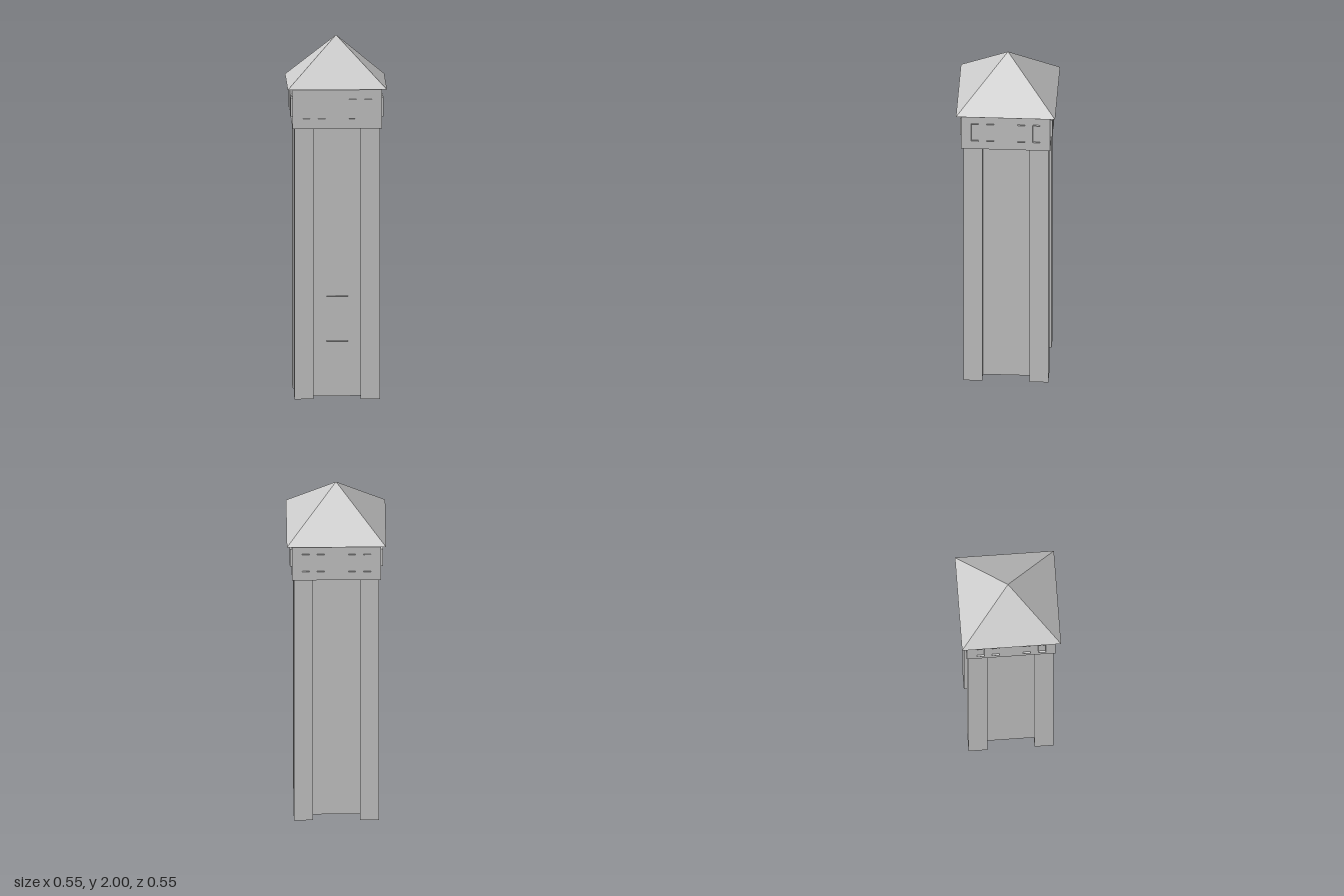
import * as THREE from 'three';

const material = new THREE.MeshStandardMaterial({
  color: 0xcccccc, flatShading: true, side: THREE.DoubleSide,
});

// Thin four-sided tube, open at both ends, running along y from y = 0
function openTube(w, h, d) {
  return new THREE.CylinderGeometry(Math.SQRT1_2, Math.SQRT1_2, 1, 4, 1, true)
    .rotateY(Math.PI / 4)
    .scale(w, h, d)
    .translate(0, h / 2, 0);
}

function add(parent, name, geometry, x = 0, y = 0, z = 0) {
  const mesh = new THREE.Mesh(geometry, material);
  mesh.name = name;
  mesh.position.set(x, y, z);
  parent.add(mesh);
  return mesh;
}

export function createModel() {
  const tower = new THREE.Group();
  tower.name = 'tower';

  const headBottom = 1.515, headTop = 1.737;
  const wall = 0.185, head = 0.246;

  // Hollow shaft between the corner pillars, with its storey floors
  add(tower, 'shaftWalls', openTube(wall * 2, headBottom - 0.01, wall * 2), 0, 0.01, 0);
  for (const y of [0.32, 1.25]) {
    const floor = new THREE.PlaneGeometry(wall * 2, wall * 2).rotateX(-Math.PI / 2);
    add(tower, 'storeyFloor', floor, 0, y, 0);
  }

  // Hollow corner pillars
  for (const sx of [-1, 1]) {
    for (const sz of [-1, 1]) {
      add(tower, 'cornerPillar', openTube(0.105, headBottom, 0.105), sx * 0.1825, 0, sz * 0.1825);
    }
  }

  // Door surround, an open frame standing out from the front wall
  const door = openTube(0.118, 0.03, 0.25).rotateX(Math.PI / 2);
  add(tower, 'doorFrame', door, 0.001, 0.445, wall);

  // Overhanging top room
  const room = new THREE.BoxGeometry(head * 2, headTop - headBottom, head * 2);
  add(tower, 'topRoom', room, 0, (headTop + headBottom) / 2, 0);

  // Two pairs of window frames on each side of the top room
  const frame = openTube(0.041, 0.011, 0.108).rotateX(Math.PI / 2);
  for (let i = 0; i < 4; i++) {
    const side = new THREE.Group();
    side.name = 'windowRow';
    side.rotation.y = i * Math.PI / 2;
    for (const x of [-0.17, -0.086, 0.086, 0.17]) {
      add(side, 'windowFrame', frame, x, 1.626, head);
    }
    tower.add(side);
  }

  // Pyramid roof
  const roofHeight = 2 - headTop;
  const roof = new THREE.ConeGeometry(0.274 * Math.SQRT2, roofHeight, 4).rotateY(Math.PI / 4);
  add(tower, 'roof', roof, 0, headTop + roofHeight / 2, 0);

  return tower;
}
